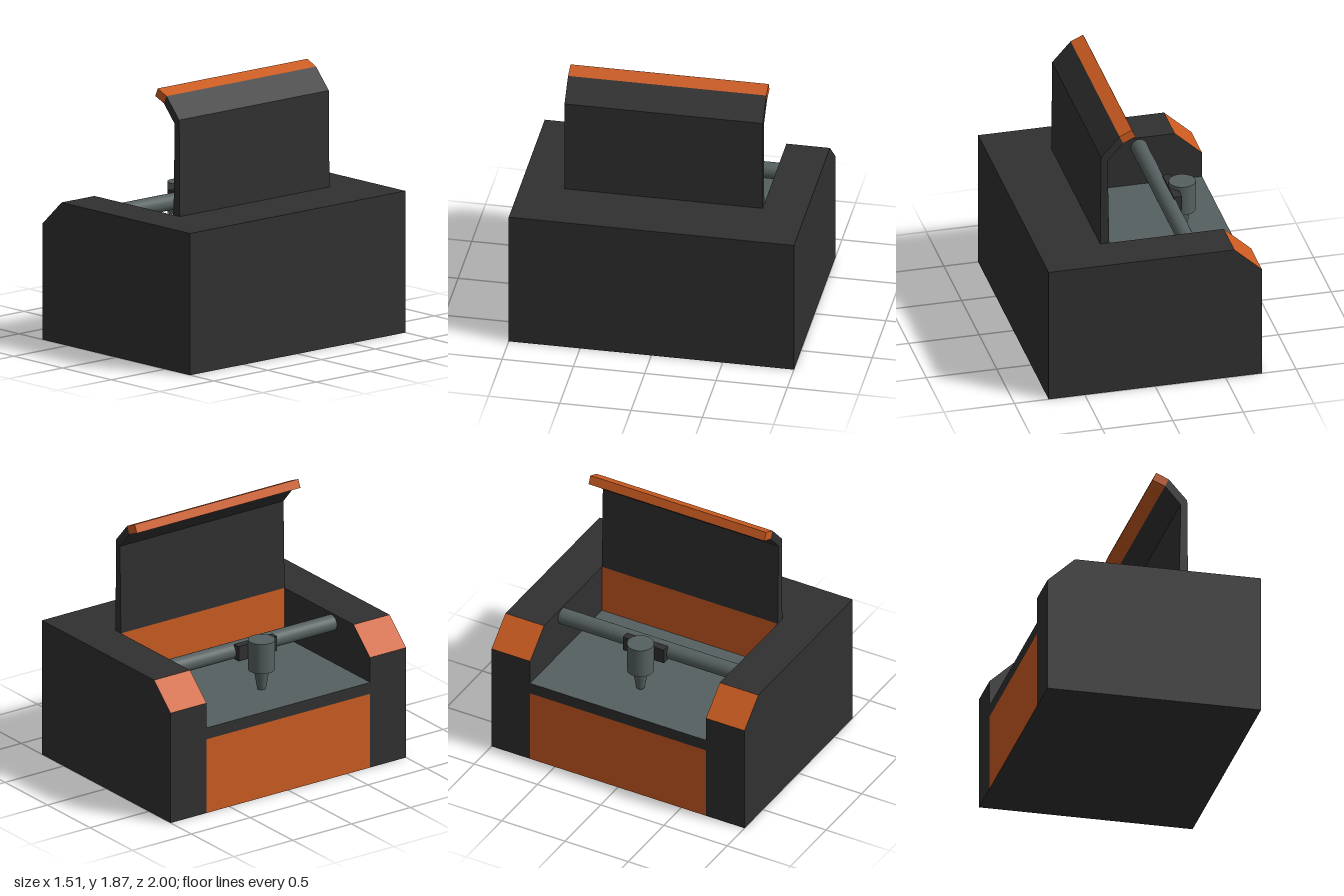
import * as THREE from 'three';

const mat = (name, color) => {
  const m = new THREE.MeshStandardMaterial({ color });
  m.name = name;
  return m;
};

export function createModel() {
  const dark = mat('charcoal', 0x303030);
  const orange = mat('orange', 0xcb5b21);
  const grey = mat('slate grey', 0x566060);

  const root = new THREE.Group();
  root.name = 'engravingMachine';

  const add = (parent, name, geometry, material, x = 0, y = 0, z = 0) => {
    const mesh = new THREE.Mesh(geometry, material);
    mesh.name = name;
    mesh.position.set(x, y, z);
    parent.add(mesh);
    return mesh;
  };

  // Flat convex face from corners listed counter-clockwise as seen from outside
  const face = (parent, name, material, corners) => {
    const g = new THREE.BufferGeometry();
    const tris = [];
    for (let i = 1; i < corners.length - 1; i++) tris.push(corners[0], corners[i], corners[i + 1]);
    g.setAttribute('position', new THREE.Float32BufferAttribute(tris.flat(), 3));
    g.computeVertexNormals();
    return add(parent, name, g, material);
  };

  // The same face on both sides of z = 0
  const facePair = (parent, name, material, corners) => {
    face(parent, name + 'Left', material, corners);
    face(parent, name + 'Right', material, corners.map(([x, y, z]) => [x, y, -z]).reverse());
  };

  // Main dimensions
  const X = 0.757, Z = 1, H = 1;
  const bevelX = -0.562, bevelY = 0.82;
  const wellX = 0.25, wellZ = 0.695, floorY = 0.635, panelY = 0.55;

  // Outer casing
  const body = new THREE.Group();
  body.name = 'casing';
  root.add(body);
  facePair(body, 'outerWall', dark, [[-X, 0, Z], [X, 0, Z], [X, H, Z], [bevelX, H, Z], [-X, bevelY, Z]]);
  facePair(body, 'innerWall', dark, [[-X, floorY, wellZ], [-X, bevelY, wellZ], [bevelX, H, wellZ], [wellX, H, wellZ], [wellX, floorY, wellZ]]);
  facePair(body, 'frontPillar', dark, [[-X, 0, wellZ], [-X, 0, Z], [-X, bevelY, Z], [-X, bevelY, wellZ]]);
  facePair(body, 'bevel', orange, [[-X, bevelY, wellZ], [-X, bevelY, Z], [bevelX, H, Z], [bevelX, H, wellZ]]);
  facePair(body, 'sideTop', dark, [[bevelX, H, wellZ], [bevelX, H, Z], [wellX, H, Z], [wellX, H, wellZ]]);
  face(body, 'rearTop', dark, [[wellX, H, -Z], [wellX, H, Z], [X, H, Z], [X, H, -Z]]);
  face(body, 'rearWall', dark, [[X, 0, Z], [X, 0, -Z], [X, H, -Z], [X, H, Z]]);
  face(body, 'base', dark, [[-X, 0, -Z], [X, 0, -Z], [X, 0, Z], [-X, 0, Z]]);

  // Open work area
  const frontStrip = (name, material, y0, y1, x) =>
    face(body, name, material, [[x, y0, -wellZ], [x, y0, wellZ], [x, y1, wellZ], [x, y1, -wellZ]]);
  frontStrip('frontPanel', orange, 0, panelY, -X);
  frontStrip('bedEdge', dark, panelY, floorY, -X);
  frontStrip('wellBack', orange, floorY, H, wellX);
  face(body, 'workBed', grey, [[-X, floorY, -wellZ], [-X, floorY, wellZ], [wellX, floorY, wellZ], [wellX, floorY, -wellZ]]);

  // Raised lid with an orange handle edge, both extruded along z
  const lid = new THREE.Group();
  lid.name = 'lid';
  root.add(lid);
  const extrude = (name, material, points) => {
    const shape = new THREE.Shape(points.map(([x, y]) => new THREE.Vector2(x, y)));
    const g = new THREE.ExtrudeGeometry(shape, { depth: 2 * wellZ, bevelEnabled: false });
    add(lid, name, g, material, 0, 0, -wellZ);
  };
  extrude('lidPanel', dark, [[0.25, 1], [0.314, 1], [0.308, 1.68], [0.177, 1.827], [0.151, 1.772], [0.262, 1.645]]);
  extrude('lidHandle', orange, [[0.151, 1.772], [0.177, 1.827], [0.088, 1.867], [0.062, 1.81]]);

  // Gantry rail and tool head
  const gantry = new THREE.Group();
  gantry.name = 'gantry';
  root.add(gantry);
  add(gantry, 'rail', new THREE.CylinderGeometry(0.058, 0.058, 2 * wellZ, 24), grey, -0.308, 0.93, 0).rotation.x = Math.PI / 2;
  add(gantry, 'bracket', new THREE.BoxGeometry(0.058, 0.11, 0.325), dark, -0.37, 0.935, 0);
  add(gantry, 'toolHead', new THREE.CylinderGeometry(0.094, 0.094, 0.22, 32), grey, -0.442, 0.91, 0);
  add(gantry, 'nozzle', new THREE.CylinderGeometry(0.055, 0.03, 0.15, 24), grey, -0.442, 0.727, 0);

  return root;
}
